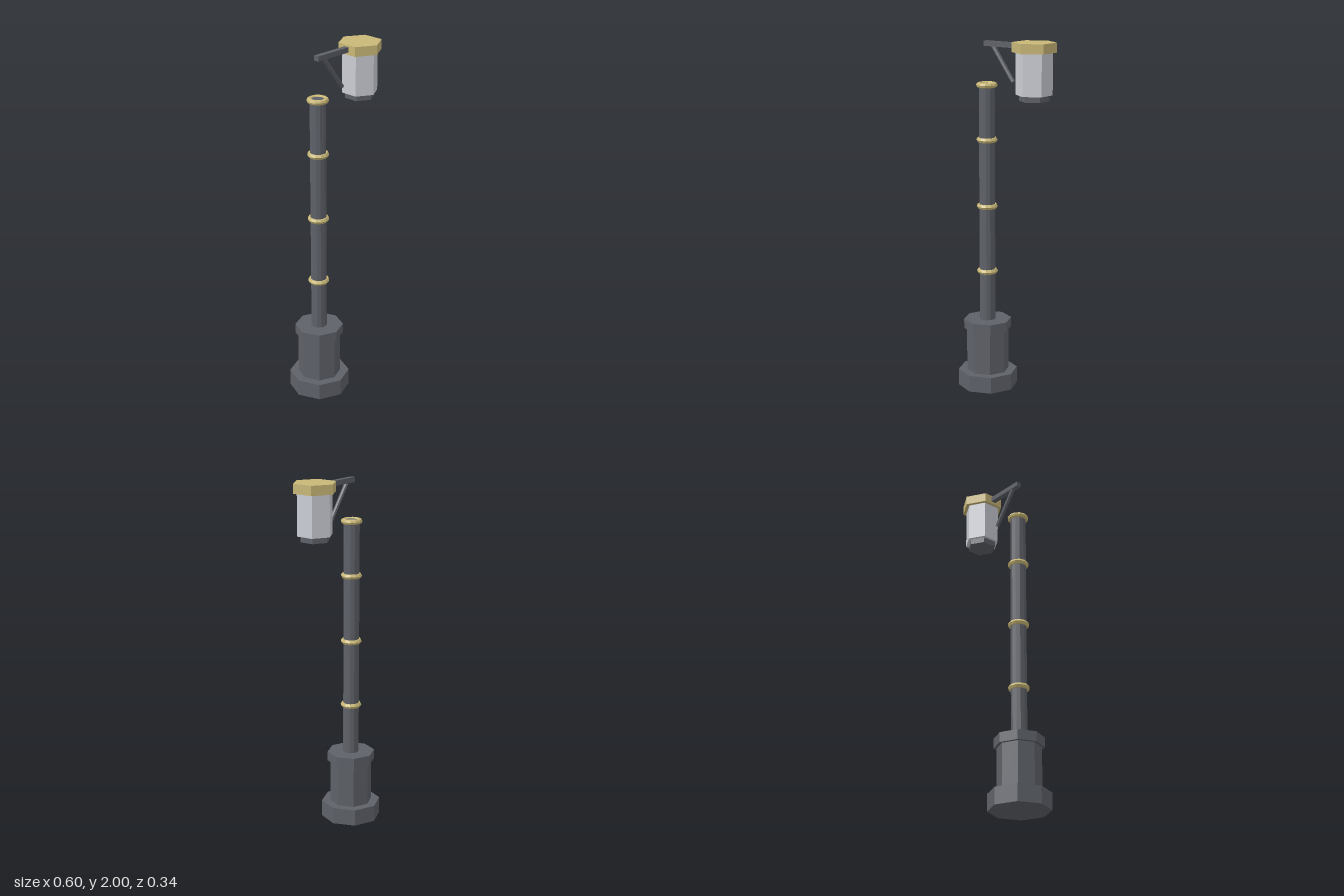
import * as THREE from 'three';

export function createModel() {
  const make = (name, color) => {
    const m = new THREE.MeshStandardMaterial({ color, flatShading: true });
    m.name = name;
    return m;
  };
  const iron = make('dark iron', 0x5e6168);
  const brass = make('brass', 0xc8b777);
  const glass = make('pale glass', 0xcacdd4);

  const model = new THREE.Group();
  model.name = 'streetLamp';
  const add = (parent, name, geometry, material, x = 0, y = 0) => {
    const mesh = new THREE.Mesh(geometry, material);
    mesh.name = name;
    mesh.position.set(x, y, 0);
    parent.add(mesh);
    return mesh;
  };
  // Upright prism between two heights
  const prism = (parent, name, r, sides, y0, y1, material) =>
    add(parent, name, new THREE.CylinderGeometry(r, r, y1 - y0, sides), material, 0, (y0 + y1) / 2);

  // Post with octagonal pedestal
  const post = new THREE.Group();
  post.name = 'post';
  post.position.x = -0.13;
  model.add(post);
  prism(post, 'plinth', 0.17, 8, 0, 0.095, iron);
  prism(post, 'pedestal', 0.12, 8, 0.095, 0.345, iron);
  prism(post, 'pedestalCap', 0.136, 8, 0.345, 0.4, iron);
  prism(post, 'pole', 0.045, 12, 0.4, 1.755, iron);

  // Brass rings along the pole
  [0.686, 1.065, 1.443].forEach((y, i) => {
    const ring = add(post, `ring${i + 1}`, new THREE.TorusGeometry(0.045, 0.015, 6, 12), brass, 0, y);
    ring.rotation.x = Math.PI / 2;
  });
  const topRing = add(post, 'topRing', new THREE.TorusGeometry(0.045, 0.015, 8, 12), brass, 0, 1.748);
  topRing.rotation.x = Math.PI / 2;

  // Bracket: horizontal arm and slanted strut
  add(model, 'arm', new THREE.BoxGeometry(0.33, 0.028, 0.03), iron, 0.026, 1.976);
  const top = new THREE.Vector3(-0.1, 1.985, 0);
  const end = new THREE.Vector3(0.054, 1.778, 0);
  const strut = add(model, 'strut', new THREE.CylinderGeometry(0.012, 0.012, top.distanceTo(end), 8), iron);
  strut.position.copy(top).add(end).multiplyScalar(0.5);
  strut.quaternion.setFromUnitVectors(new THREE.Vector3(0, 1, 0), top.clone().sub(end).normalize());

  // Hexagonal lantern
  const lantern = new THREE.Group();
  lantern.name = 'lantern';
  lantern.position.x = 0.194;
  model.add(lantern);
  prism(lantern, 'lanternCap', 0.121, 6, 1.947, 2, brass);
  prism(lantern, 'lanternGlass', 0.1, 6, 1.72, 1.947, glass);
  prism(lantern, 'lanternBase', 0.082, 6, 1.688, 1.72, iron);

  return model;
}
